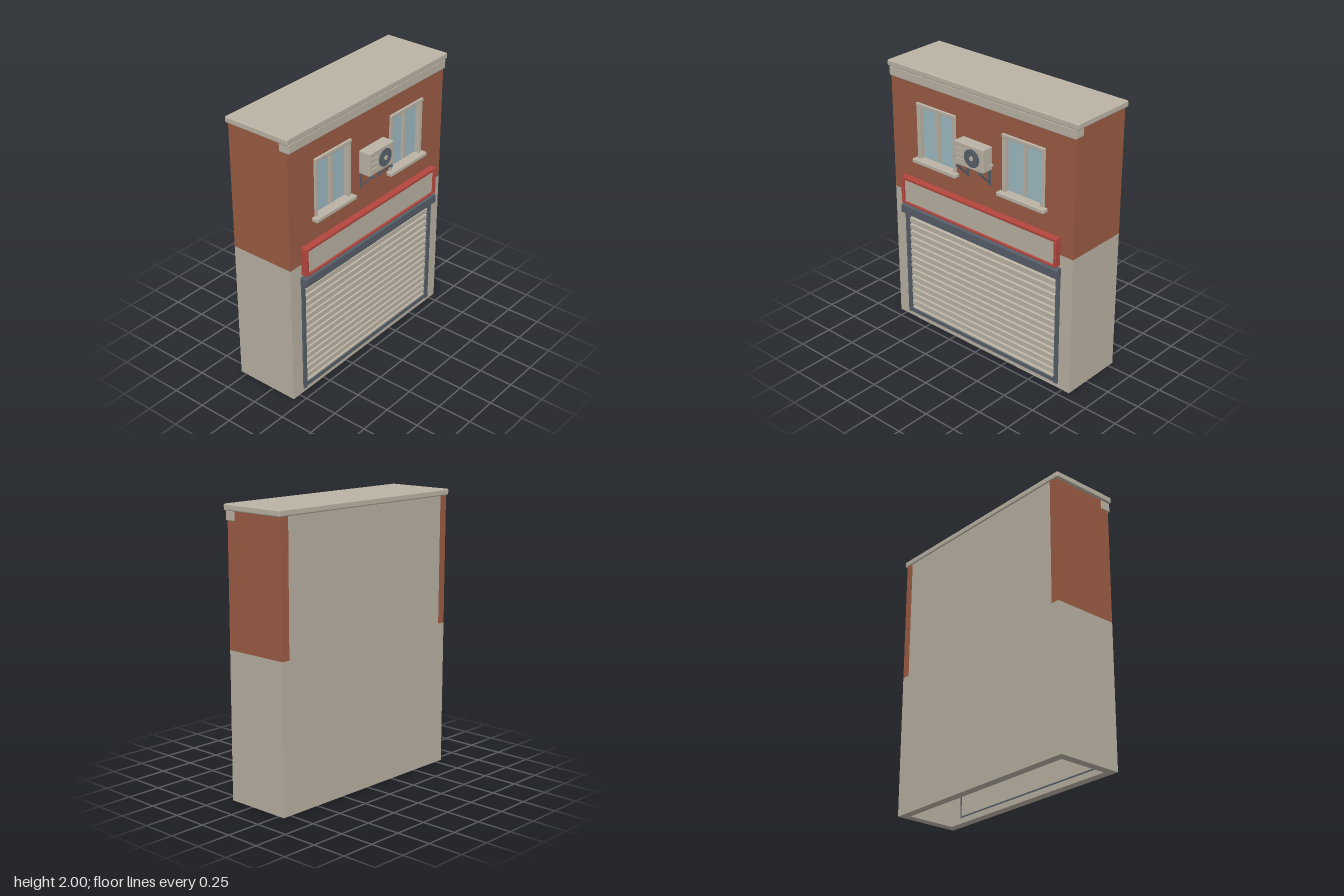
import * as THREE from 'three';
import { RoundedBoxGeometry } from 'three/addons/geometries/RoundedBoxGeometry.js';

const mat = (name, color, side = THREE.FrontSide) => {
  const m = new THREE.MeshStandardMaterial({ color, side });
  m.name = name;
  return m;
};

export function createModel() {
  const stone = mat('stone', 0xb7afa1);
  const brick = mat('brick', 0x9a5b43);
  const trim = mat('trim', 0xbab2a4);
  const slate = mat('slate', 0x565e68);
  const red = mat('red', 0xb4463d);
  const glass = mat('glass', 0x9db9c0);
  const slatMat = mat('shutterSlat', 0xbab2a4, THREE.DoubleSide);

  const root = new THREE.Group();
  root.name = 'shopBuilding';
  const group = (name, parent = root) => {
    const g = new THREE.Group();
    g.name = name;
    parent.add(g);
    return g;
  };
  const add = (name, geo, material, parent = root) => {
    const m = new THREE.Mesh(geo, material);
    m.name = name;
    parent.add(m);
    return m;
  };
  // Box given by its limits on each axis, with optional rounded edges
  const box = (name, [x0, x1], [y0, y1], [z0, z1], material, parent = root, r = 0) => {
    const s = [x1 - x0, y1 - y0, z1 - z0];
    const geo = r ? new RoundedBoxGeometry(...s, 2, r) : new THREE.BoxGeometry(...s);
    const m = add(name, geo, material, parent);
    m.position.set((x0 + x1) / 2, (y0 + y1) / 2, (z0 + z1) / 2);
    return m;
  };

  const W = 0.812, T = 0.062, FRONT = 0.19, BACK = -0.297, SPLIT = 1.04, TOP = 1.957;
  const WIN = 0.388;

  // Front wall panels with openings
  const rect = (C, x0, x1, y0, y1) => {
    const s = new C();
    s.moveTo(x0, y0);
    s.lineTo(x1, y0);
    s.lineTo(x1, y1);
    s.lineTo(x0, y1);
    s.closePath();
    return s;
  };
  const frontWall = (name, y0, y1, holes, material) => {
    const s = rect(THREE.Shape, -W, W, y0, y1);
    s.holes = holes.map((h) => rect(THREE.Path, ...h));
    const geo = new THREE.ExtrudeGeometry(s, { depth: T, bevelEnabled: false });
    add(name, geo, material).position.z = FRONT - T;
  };
  frontWall('lowerFrontWall', 0, SPLIT, [[-0.69, 0.69, 0.04, 0.9]], stone);
  frontWall('upperFrontWall', SPLIT, TOP,
    [-WIN, WIN].map((x) => [x - 0.165, x + 0.165, 1.335, 1.735]), brick);

  // Side walls and back wall, leaving the inside hollow
  for (const s of [-1, 1]) {
    const side = s < 0 ? 'right' : 'left';
    const xs = s < 0 ? [-W, -W + T] : [W - T, W];
    box(side + 'LowerWall', xs, [0, SPLIT], [BACK, FRONT - T], stone);
    box(side + 'UpperWall', xs, [SPLIT, TOP], [BACK, FRONT - T], brick);
  }
  box('backWall', [-W + T, W - T], [0, TOP], [BACK, BACK + T], stone);

  // Roof slab and cornice
  box('roof', [-0.833, 0.833], [1.955, 2], [-0.305, 0.207], trim, root, 0.01);
  box('cornice', [-0.816, 0.816], [1.89, 1.957], [0.125, 0.205], trim, root, 0.006);

  // Windows
  for (const cx of [-WIN, WIN]) {
    const w = group(cx < 0 ? 'rightWindow' : 'leftWindow');
    w.position.x = cx;
    box('glass', [-0.165, 0.165], [1.335, 1.735], [0.155, 0.163], glass, w);
    for (const s of [-1, 1])
      box('jamb', s < 0 ? [-0.181, -0.153] : [0.153, 0.181], [1.335, 1.732], [0.155, 0.2], trim, w, 0.003);
    box('lintel', [-0.181, 0.181], [1.73, 1.756], [0.155, 0.206], trim, w, 0.004);
    box('mullion', [-0.011, 0.011], [1.358, 1.732], [0.16, 0.185], trim, w);
    box('sill', [-0.203, 0.203], [1.31, 1.34], [0.155, 0.234], trim, w, 0.006);
  }

  // Blank sign board with a red border
  const sign = group('signBoard');
  box('signPanel', [-0.688, 0.688], [0.968, 1.15], [FRONT, 0.222], stone, sign);
  box('signTop', [-0.705, 0.705], [1.148, 1.171], [FRONT, 0.24], red, sign, 0.005);
  box('signBottom', [-0.69, 0.69], [0.962, 0.974], [FRONT, 0.237], red, sign);
  for (const s of [-1, 1])
    box('signSide', s < 0 ? [-0.707, -0.686] : [0.686, 0.707], [0.962, 1.149], [FRONT, 0.24], red, sign, 0.005);

  // Roller shutter: sawtooth slats between rails
  const shutter = group('rollerShutter');
  const pitch = 0.0533, y0 = 0.03, count = 16;
  const slats = new THREE.Shape();
  slats.moveTo(0.16, y0);
  for (let i = 0; i < count; i++) {
    const y = y0 + i * pitch;
    slats.lineTo(0.17, y);
    slats.lineTo(0.19, y + 0.012);
    slats.lineTo(0.19, y + pitch - 0.005);
    slats.lineTo(0.18, y + pitch);
  }
  slats.lineTo(0.16, y0 + count * pitch);
  slats.closePath();
  const slatGeo = new THREE.ExtrudeGeometry(slats, { depth: 1.378, bevelEnabled: false });
  slatGeo.rotateY(-Math.PI / 2);
  // after turning, the profile runs along z and the length along x
  slatGeo.translate(0.689, 0.0, 0);
  add('slats', slatGeo, slatMat, shutter);
  for (const s of [-1, 1])
    box('rail', s < 0 ? [-0.713, -0.682] : [0.682, 0.713], [0.036, 0.885], [0.155, 0.202], slate, shutter);
  box('bottomBar', [-0.683, 0.683], [0.036, 0.066], [0.155, 0.196], slate, shutter);
  box('shutterBox', [-0.716, 0.716], [0.88, 0.946], [0.17, 0.24], slate, shutter, 0.006);

  // Air conditioner on brackets
  const ac = group('airConditioner');
  box('casing', [-0.13, 0.126], [1.468, 1.638], [0.2, 0.292], trim, ac, 0.007);
  const disc = (name, r, depth, z, material) => {
    const geo = new THREE.CylinderGeometry(r, r, depth, 28);
    geo.rotateX(Math.PI / 2);
    add(name, geo, material, ac).position.set(0.03, 1.553, z);
  };
  disc('fanDisc', 0.063, 0.006, 0.294, slate);
  disc('fanHub', 0.016, 0.014, 0.297, trim);
  for (const r of [0.063, 0.047, 0.031])
    add('fanRing', new THREE.TorusGeometry(r, 0.0022, 6, 28), slate, ac).position.set(0.03, 1.553, 0.298);
  for (let i = 0; i < 4; i++) {
    const bar = add('fanBar', new THREE.BoxGeometry(0.122, 0.003, 0.003), slate, ac);
    bar.position.set(0.03, 1.553, 0.299);
    bar.rotation.z = (i * Math.PI) / 4;
  }
  for (const y of [1.515, 1.553, 1.591])
    box('louvre', [-0.112, -0.052], [y - 0.005, y + 0.005], [0.29, 0.298], trim, ac, 0.002);
  box('valve', [0.124, 0.136], [1.497, 1.512], [0.2, 0.23], trim, ac);
  for (const x of [-0.1, 0.096]) {
    const xs = [x - 0.008, x + 0.008];
    box('bracketPlate', xs, [1.345, 1.468], [FRONT, 0.2], slate, ac);
    box('bracketArm', xs, [1.455, 1.468], [FRONT, 0.305], slate, ac);
    const brace = add('bracketBrace', new THREE.BoxGeometry(0.014, 0.01, 0.13), slate, ac);
    brace.position.set(x, 1.41, 0.242);
    brace.rotation.x = -Math.PI / 4;
  }
  return root;
}
